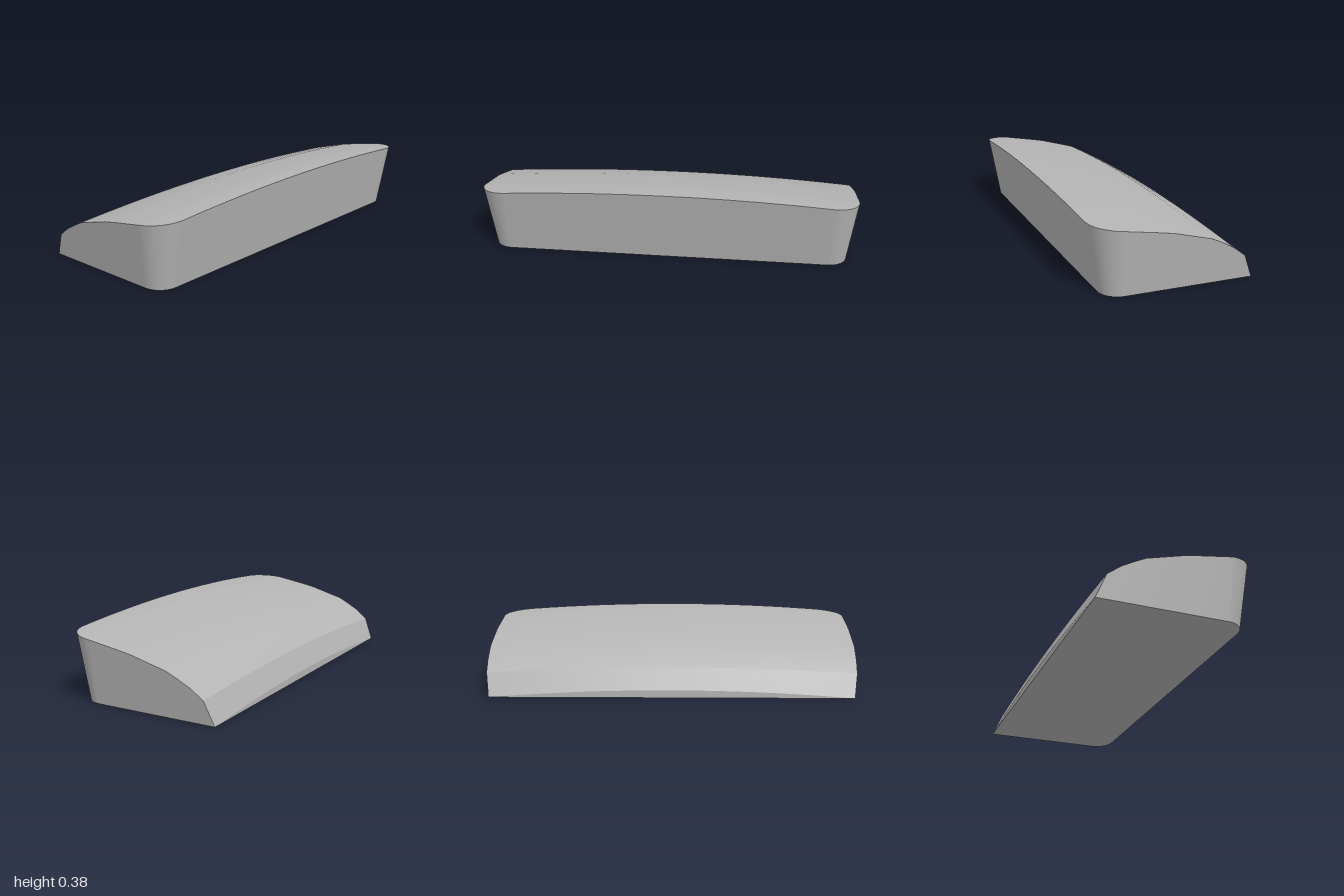
import * as THREE from 'three';

// Centre-line height of the crowned top, as [z, y] from back to front
const CROWN = [[-0.417, 0.04], [-0.367, 0.152], [-0.3, 0.205], [-0.24, 0.24], [-0.18, 0.272], [-0.08, 0.303],
  [0.02, 0.331], [0.1, 0.346], [0.2, 0.363], [0.27, 0.375], [0.34, 0.381], [0.42, 0.384]];
const COLS = 28, CORNER = 12;
const lerp = THREE.MathUtils.lerp;

function topHeight(x, z) {
  let i = 1;
  while (i < CROWN.length - 1 && z > CROWN[i][0]) i++;
  const [z0, y0] = CROWN[i - 1], [z1, y1] = CROWN[i];
  const centre = lerp(y0, y1, (z - z0) / (z1 - z0));
  const drop = z < -0.367 ? lerp(0.0439, 0.032, (z + 0.417) / 0.05)
    : lerp(0.032, 0.042, Math.min(1, (z + 0.367) / 0.3));
  return Math.max(0, centre - drop * x * x);
}

const frontZ = (y) => 0.35 + 0.176 * y;

// Half outline at height y: straight side stations, then the rounded front corner
const straightZ = CROWN.map((p) => p[0]).filter((z) => z < 0.21);
const STATIONS = straightZ.length + CORNER + 1;
function outline(i, y) {
  const w = 0.955 + 0.134 * y, r = 0.1 + 0.14 * y;
  if (i < straightZ.length) return new THREE.Vector3(w, y, straightZ[i]);
  const a = ((i - straightZ.length) / CORNER) * Math.PI / 2;
  return new THREE.Vector3(w - r + r * Math.cos(a), y, frontZ(y) - r + r * Math.sin(a));
}

// Where the flared wall meets the crowned top
function rim(i) {
  let p = outline(i, 0.3);
  for (let k = 0; k < 30; k++) p = outline(i, topHeight(p.x, p.z));
  return p;
}

const mirror = (p) => new THREE.Vector3(-p.x, p.y, p.z);

// Smooth sheet through rows of points; faces along (row step) x (column step)
function sheet(name, rows, material) {
  const n = rows[0].length, index = [];
  for (let r = 0; r < rows.length - 1; r++) {
    for (let c = 0; c < n - 1; c++) {
      const a = r * n + c, b = a + 1, d = a + n, e = d + 1;
      index.push(a, d, b, b, d, e);
    }
  }
  const geometry = new THREE.BufferGeometry().setFromPoints(rows.flat());
  geometry.setIndex(index);
  geometry.computeVertexNormals();
  const mesh = new THREE.Mesh(geometry, material);
  mesh.name = name;
  return mesh;
}

export function createModel() {
  const group = new THREE.Group();
  group.name = 'wedgeBlock';
  const grey = new THREE.MeshStandardMaterial({ color: 0xb4b4b4 });
  grey.name = 'plain grey';

  const ids = Array.from({ length: STATIONS }, (_, i) => i);
  const rims = ids.map(rim);
  const base = ids.map((i) => outline(i, 0));

  // Rows across the top, bowed slightly to follow the leaning front edge
  const rows = rims.map((p) => {
    const row = [];
    for (let c = 0; c <= COLS; c++) {
      const x = p.x * (2 * c / COLS - 1);
      const bow = THREE.MathUtils.clamp((p.z - 0.2) / 0.21, 0, 1);
      const z = p.z + bow * (frontZ(topHeight(x, p.z)) - frontZ(p.y));
      row.push(new THREE.Vector3(x, topHeight(x, z), z));
    }
    return row;
  });
  group.add(sheet('crownedTop', rows.slice(1), grey));
  group.add(sheet('backBevel', rows.slice(0, 2), grey));
  group.add(sheet('backLip', [rows[0].map((p) => new THREE.Vector3(p.x, 0, p.z)), rows[0]], grey));

  // Flared wall: left side, front, right side
  const front = rows[STATIONS - 1].slice(1, -1).reverse();
  const last = base[STATIONS - 1];
  const frontBase = front.map((p) => new THREE.Vector3(p.x * last.x / rims[STATIONS - 1].x, 0, last.z));
  const around = (half, middle) => [...half, ...middle, ...half.map(mirror).reverse()];
  group.add(sheet('sideAndFrontWall', [around(base, frontBase), around(rims, front)], grey));

  // Flat underside
  group.add(sheet('underside', base.map((p) => [p, mirror(p)]), grey));
  return group;
}
